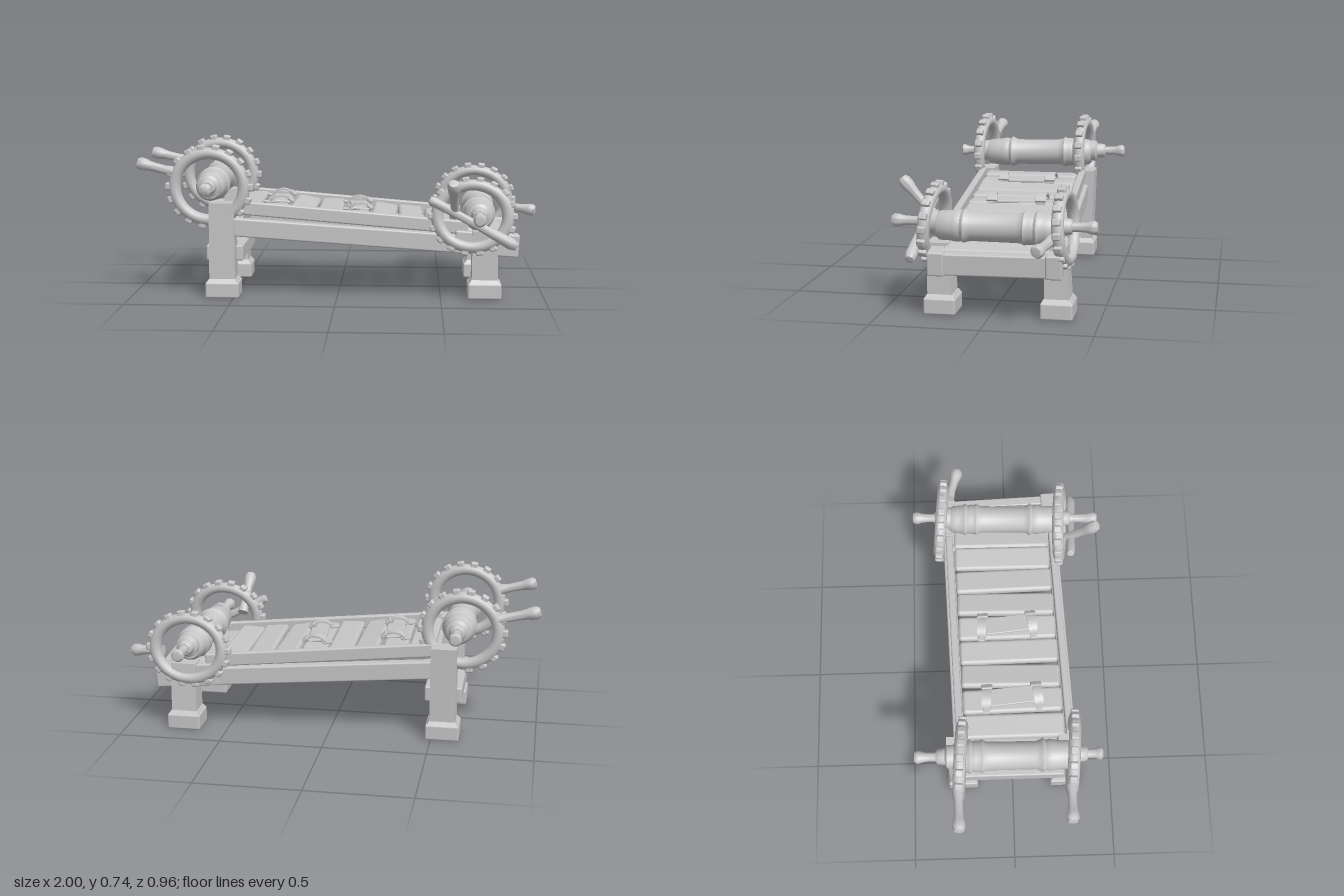
import * as THREE from 'three';
import { toCreasedNormals } from 'three/addons/utils/BufferGeometryUtils.js';
import { RoundedBoxGeometry } from 'three/addons/geometries/RoundedBoxGeometry.js';

const grey = new THREE.MeshStandardMaterial({ color: 0xc6c6c6 });
grey.name = 'plain grey';
const V = (x, y, z) => new THREE.Vector3(x, y, z);

function add(parent, name, geometry, x = 0, y = 0, z = 0) {
  const mesh = new THREE.Mesh(geometry, grey);
  mesh.name = name;
  mesh.position.set(x, y, z);
  parent.add(mesh);
  return mesh;
}
const box = (w, h, d, r = 0.008) => new RoundedBoxGeometry(w, h, d, 2, r);

// Lathe of [radius, t] points laid from a to b (t runs 0..1)
function turned(parent, name, a, b, profile, sides = 20) {
  const dir = b.clone().sub(a), len = dir.length();
  const pts = profile.map(([r, t]) => new THREE.Vector2(r, t * len));
  const geo = toCreasedNormals(new THREE.LatheGeometry(pts, sides), 0.8);
  const mesh = add(parent, name, geo, a.x, a.y, a.z);
  mesh.quaternion.setFromUnitVectors(V(0, 1, 0), dir.normalize());
  return mesh;
}
const handleProfile = [[0, 0], [0.027, 0], [0.025, 0.12], [0.021, 0.25], [0.022, 0.55],
  [0.025, 0.68], [0.03, 0.78], [0.031, 0.9], [0.023, 0.98], [0, 1]];
const handle = (parent, a, b) => turned(parent, 'handle', a, b, handleProfile, 14);

// Toothed ring with blocky cogs
function wheel(parent, name, x, y, z, tilt, stretchY) {
  const g = new THREE.Group();
  g.name = name;
  add(g, 'ring', new THREE.TorusGeometry(0.165, 0.029, 12, 48));
  const n = 18;
  for (let i = 0; i < n; i++) {
    const a = (i / n) * Math.PI * 2;
    const tooth = add(g, 'tooth', box(0.036, 0.036, 0.038, 0.008), Math.cos(a) * 0.191, Math.sin(a) * 0.191, 0);
    tooth.rotation.z = a;
  }
  g.position.set(x, y, z);
  g.rotation.set(tilt, -0.07, 0);
  g.scale.set(1.03, stretchY, 1);
  parent.add(g);
}

// Roller with rope windings, stepped hubs and a handle at each end
function roller(parent, name, back, front, z0, z1, drop) {
  const g = new THREE.Group();
  g.name = name;
  const at = (z, dy = 0) => {
    const p = back.clone().lerp(front, (z - back.z) / (front.z - back.z));
    p.y -= dy;
    return p;
  };
  const rope = [];
  const winding = (from, to, turns) => {
    for (let i = 0; i <= turns * 2; i++) {
      rope.push([(i % 2 ? 0.079 : 0.073) + 0.003 * Math.sin(i * 1.7), from + (to - from) * i / (turns * 2)]);
    }
  };
  rope.push([0, 0], [0.055, 0], [0.068, 0.03], [0.071, 0.08]);
  winding(0.12, 0.28, 3);
  rope.push([0.068, 0.32], [0.067, 0.7]);
  winding(0.73, 0.84, 2);
  rope.push([0.07, 0.88], [0.068, 0.97], [0.055, 1], [0, 1]);
  turned(g, 'rope drum', at(z0, drop), at(z1, drop), rope, 28);
  for (const [end, tip] of [[z0, back], [z1, front]]) {
    const s = Math.sign(tip.z);
    turned(g, 'hub', at(end - s * 0.01), at(end + s * 0.075),
      [[0.055, 0], [0.055, 0.4], [0.04, 0.5], [0.036, 0.9], [0.028, 1], [0, 1]]);
    handle(g, at(end + s * 0.05), tip);
  }
  parent.add(g);
}

// Tapered post on a chamfered foot
function leg(parent, name, x, z, top, inward) {
  const g = new THREE.Group();
  g.name = name;
  const post = new THREE.BoxGeometry(0.125, top - 0.06, 0.115);
  const p = post.attributes.position;
  for (let i = 0; i < p.count; i++) {
    if (p.getY(i) > 0) { p.setX(i, p.getX(i) * 0.97); p.setZ(i, p.getZ(i) * 0.87 + inward); }
  }
  post.computeVertexNormals();
  add(g, 'post', post, 0, (top + 0.06) / 2, 0);
  add(g, 'foot', box(0.162, 0.075, 0.147), 0, 0.0375, 0);
  const slope = new THREE.CylinderGeometry(0.063 * Math.SQRT2, 0.078 * Math.SQRT2, 0.022, 4, 1).toNonIndexed();
  slope.rotateY(Math.PI / 4);
  slope.computeVertexNormals();
  add(g, 'foot chamfer', slope, 0, 0.081, 0).scale.z = 0.93;
  g.position.set(x, 0, z);
  parent.add(g);
}

// Strap lying across the planks with a raised cuff and buckle at each end
function restraint(parent, x, top) {
  const g = new THREE.Group();
  g.name = 'restraint';
  const strap = add(g, 'strap', box(0.09, 0.014, 0.22, 0.005), 0, 0.008, 0);
  strap.rotation.y = 0.06;
  for (const s of [-1, 1]) {
    const arc = new THREE.Shape();
    arc.absarc(0, 0, 0.06, 0, Math.PI, false);
    arc.absarc(0, 0, 0.049, Math.PI, 0, true);
    const cuff = new THREE.ExtrudeGeometry(arc, { depth: 0.045, bevelEnabled: false, curveSegments: 12 });
    const c = add(g, 'cuff', cuff, 0, 0, s * 0.125 - 0.022);
    c.scale.y = 0.75;
    c.rotation.y = s * 0.1;
    add(g, 'buckle', box(0.035, 0.016, 0.055, 0.005), 0.047, 0.026, s * 0.12).rotation.z = -0.6;
    add(g, 'strap end', box(0.05, 0.01, 0.03, 0.004), -0.06, 0.008, s * 0.13);
  }
  g.position.set(x, top, 0);
  parent.add(g);
}

export function createModel() {
  const model = new THREE.Group();
  model.name = 'stretching rack';

  // Sloping bed: side rails, padded planks and end beams
  const bed = new THREE.Group();
  bed.name = 'bed';
  bed.rotation.set(0, 0.037, -0.072);
  bed.position.z = -0.005;
  model.add(bed);
  for (const s of [-1, 1]) {
    add(bed, 'lower side rail', box(1.4, 0.088, 0.054), 0.14, 0.305, s * 0.272);
    add(bed, 'upper side rail', box(1.13, 0.065, 0.035), 0.03, 0.392, s * 0.267).rotation.z = -0.015;
    add(bed, 'rail end block', box(0.31, 0.11, 0.075), 0.69, 0.315, s * 0.265);
  }
  const plankCount = 10;
  for (let i = 0; i < plankCount; i++) {
    const x = -0.47 + i * 0.133;
    const plank = add(bed, 'plank', box(0.124, 0.042, 0.49, 0.018), x, 0.388 - x * 0.018 - (i > 7 ? 0.02 : 0), 0);
    plank.rotation.set(0, -0.035 + 0.02 * Math.sin(i * 2.3), 0.12 * Math.sin(i * 1.9 + 1));
  }
  restraint(bed, -0.32, 0.412);
  restraint(bed, 0.07, 0.405);
  add(bed, 'foot end beam', box(0.05, 0.1, 0.5), 0.81, 0.312, 0);
  add(bed, 'head end beam', box(0.05, 0.085, 0.5), -0.52, 0.31, 0);

  // Legs and head stretcher
  leg(model, 'left head leg', -0.555, 0.265, 0.46, 0.008);
  leg(model, 'right head leg', -0.555, -0.25, 0.46, -0.02);
  leg(model, 'left foot leg', 0.712, 0.23, 0.33, 0.01);
  leg(model, 'right foot leg', 0.712, -0.305, 0.33, 0.01);
  add(model, 'stretcher', box(0.18, 0.075, 0.5), -0.551, 0.207, 0.005);

  // Rollers, given by the tips of their back and front handles
  roller(model, 'head roller', V(-0.617, 0.555, -0.47), V(-0.617, 0.537, 0.43), -0.29, 0.28, 0.008);
  roller(model, 'foot roller', V(0.703, 0.41, -0.48), V(0.676, 0.408, 0.475), -0.29, 0.26, 0.015);

  // Wheels
  wheel(model, 'head front wheel', -0.617, 0.537, 0.287, 0, 0.98);
  wheel(model, 'head back wheel', -0.637, 0.537, -0.25, 0.03, 0.98);
  wheel(model, 'foot front wheel', 0.65, 0.402, 0.28, -0.08, 0.91);
  wheel(model, 'foot back wheel', 0.686, 0.405, -0.332, 0.07, 0.91);

  // Wheel handles
  handle(model, V(-0.79, 0.605, 0.27), V(-0.97, 0.65, 0.265));
  handle(model, V(-0.8, 0.605, -0.26), V(-1, 0.65, -0.258));
  handle(model, V(0.83, 0.375, -0.29), V(1, 0.355, -0.245));
  handle(model, V(0.565, 0.41, 0.3), V(0.552, 0.585, 0.46));
  const bar = [[0, 0], [0.018, 0.01], [0.024, 0.06], [0.02, 0.3], [0.02, 0.6], [0.026, 0.8], [0.029, 0.93], [0.02, 0.99], [0, 1]];
  turned(model, 'crossing lever', V(0.44, 0.49, 0.325), V(0.86, 0.265, 0.348), bar, 14);
  return model;
}
